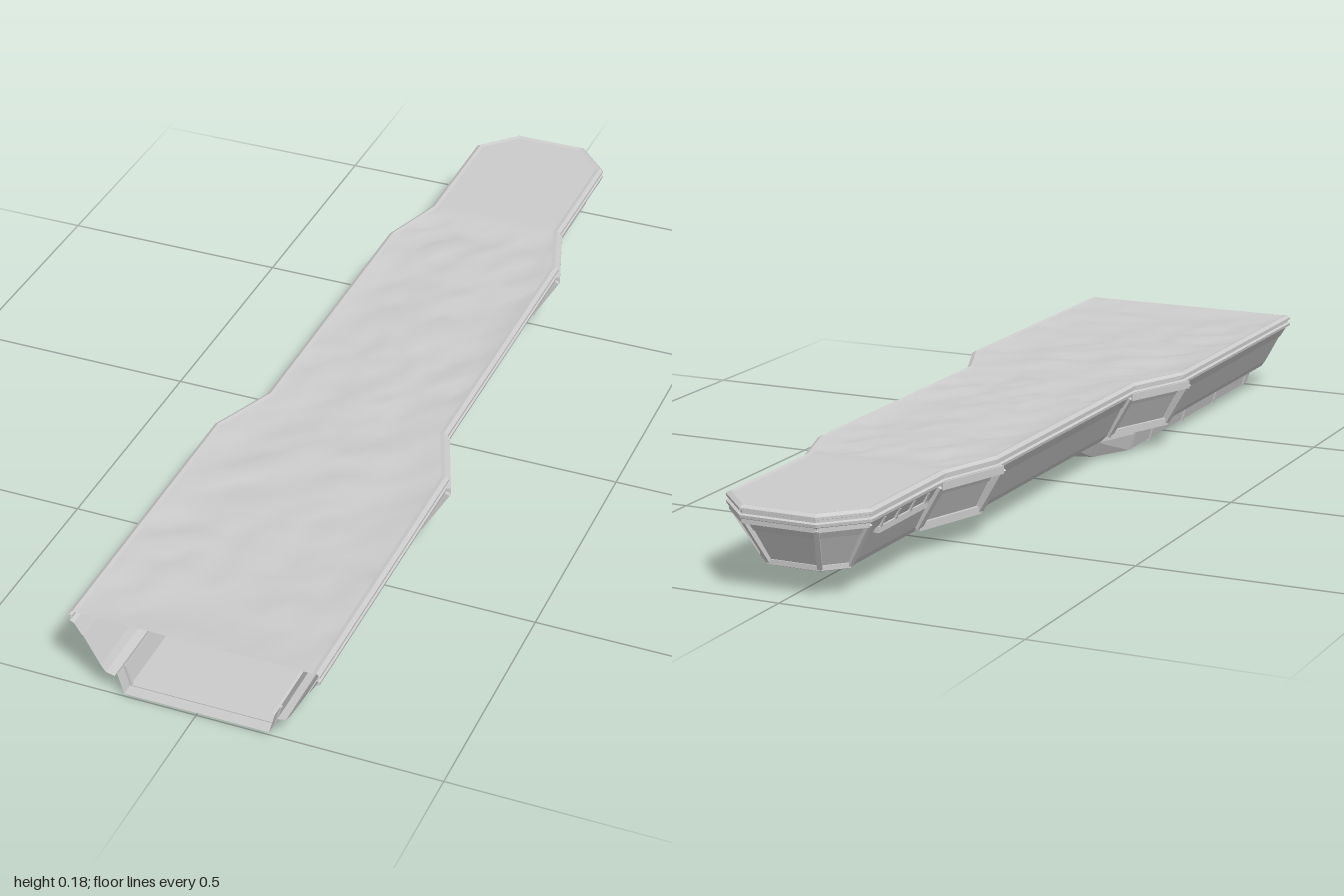
import * as THREE from 'three';

// Plan outlines as [x, z] from the open front round the back, right half mirrored
const mirror = half => [...half, ...half.map(([x, z, s]) => [-x, z, s]).reverse()];
const HULL_HALF = [[0.256, 1], [0.256, 0.34], [0.2, 0.2], [0.2, -0.48], [0.155, -0.62], [0.155, -0.92], [0.08, -1]];
const HULL = mirror(HULL_HALF);
// third number widens the inset where the tray end slopes up
const TRAY = mirror([[0.163, 1, 1], [0.163, 0.28, 1], [0.125, 0.18, 2], [0.06, 0.12, 4]]);

const grey = (flat = true) => new THREE.MeshStandardMaterial({ color: 0xcccccc, flatShading: flat, side: THREE.DoubleSide });

function addMesh(parent, name, geometry, flat = true) {
  const mesh = new THREE.Mesh(geometry, grey(flat));
  mesh.name = name;
  parent.add(mesh);
  return mesh;
}

// Point on an outline, moved inward by a mitred offset
function inset(path, i, off, y) {
  const [x, z, s = 1] = path[i];
  const normal = k => {
    const dx = path[k + 1][0] - path[k][0], dz = path[k + 1][1] - path[k][1];
    return new THREE.Vector2(dz, -dx).normalize();
  };
  const a = normal(Math.max(i - 1, 0)), b = normal(Math.min(i, path.length - 2));
  const m = a.clone().add(b).divideScalar(1 + a.dot(b)).multiplyScalar(off * s);
  return new THREE.Vector3(x + m.x, y, z + m.y);
}

function gridGeometry(rows, flip = false) {
  const n = rows[0].length, index = [];
  for (let i = 0; i < rows.length - 1; i++) {
    for (let j = 0; j < n - 1; j++) {
      const a = i * n + j, b = a + n, c = b + 1, d = a + 1;
      if (flip) index.push(a, b, c, a, c, d);
      else index.push(a, d, c, a, c, b);
    }
  }
  const g = new THREE.BufferGeometry().setFromPoints(rows.flat());
  g.setIndex(index);
  g.computeVertexNormals();
  return g;
}

// Sweep an [inset, y] profile along an outline
const sweep = (path, profile) => gridGeometry(path.map((_, i) => profile.map(([o, y]) => inset(path, i, o, y))));

// Straight square bar between two points
function bar(parent, name, a, b, w) {
  const mesh = addMesh(parent, name, new THREE.BoxGeometry(w, w, a.distanceTo(b)));
  mesh.position.copy(a).add(b).multiplyScalar(0.5);
  mesh.lookAt(b);
}

// Half width of the deck at a given z
function halfWidth(z) {
  for (let i = 0; i < HULL_HALF.length - 1; i++) {
    const [x0, z0] = HULL_HALF[i], [x1, z1] = HULL_HALF[i + 1];
    if (z <= z0 && z >= z1) return x0 + (x1 - x0) * (z0 - z) / (z0 - z1);
  }
  return 0.08;
}

function noise(i, j) {
  const s = Math.sin(i * 127.1 + j * 311.7) * 43758.5453;
  return s - Math.floor(s);
}

// Uneven ground on the deck, level towards the rim and the rounded end
function deckGeometry() {
  const rows = [], nz = 50, nx = 12;
  for (let i = 0; i <= nz; i++) {
    const z = 1 - i * 1.99 / nz, w = halfWidth(z) - 0.012, row = [];
    for (let j = 0; j <= nx; j++) {
      const u = j / nx * 2 - 1;
      const inside = j > 0 && j < nx && i > 0 && z > -0.57;
      row.push(new THREE.Vector3(u * w, 0.176 - (inside ? 0.011 * noise(i, Math.abs(j - 6)) : 0), z));
    }
    rows.push(row);
  }
  return gridGeometry(rows, false);
}

export function createModel() {
  const model = new THREE.Group();
  model.name = 'deckSection';

  // Hull walls with grooved rim, open below and at the front
  addMesh(model, 'rim', sweep(HULL, [
    [0.016, 0.176], [0.008, 0.178], [0, 0.173], [0, 0.168], [0.006, 0.166],
    [0.006, 0.161], [0, 0.159], [0.001, 0.153], [0.009, 0.149],
  ]));
  addMesh(model, 'hullWall', sweep(HULL, [
    [0.009, 0.149], [0.024, 0.125], [0.026, 0.125], [0.06, 0.062], [0.07, 0.048], [0.088, 0.044],
  ]));
  const deck = addMesh(model, 'deck', deckGeometry(), false);
  deck.geometry.index.array.reverse();
  deck.geometry.computeVertexNormals();

  // Raised frames on the angled wall segments and the rounded end
  const frames = new THREE.Group();
  frames.name = 'wallFrames';
  model.add(frames);
  const last = HULL.length - 1;
  for (const k of [1, 3, 5, 6, last - 6, last - 4, last - 2]) {
    if (k === 5 || k === 6 || k === last - 6) {
      // Slim frames at the end
      const p = [inset(HULL, k, 0.01, 0.147), inset(HULL, k + 1, 0.01, 0.147),
        inset(HULL, k + 1, 0.062, 0.058), inset(HULL, k, 0.062, 0.058)];
      p.forEach((v, i) => bar(frames, 'endFrame', v, p[(i + 1) % 4], 0.01));
      continue;
    }
    const p = [inset(HULL, k, 0.006, 0.15), inset(HULL, k + 1, 0.006, 0.15),
      inset(HULL, k + 1, 0.06, 0.06), inset(HULL, k, 0.06, 0.06)];
    // widen the frame past the corners of the segment
    const side = Math.sign(HULL[k][0]);
    const along = p[1].clone().sub(p[0]).normalize().multiplyScalar(0.012);
    const q = p.map((v, i) => v.clone().addScaledVector(along, i === 1 || i === 2 ? 1 : -1));
    q.forEach(v => { v.x += side * 0.002; });
    q.forEach((v, i) => bar(frames, 'cornerFrame', v, q[(i + 1) % 4], 0.016));
  }

  // Ledges and short ribs beside the narrow end
  for (const s of [1, -1]) {
    const x = s * 0.13;
    bar(model, 'sideLedge', new THREE.Vector3(x, 0.12, -0.66), new THREE.Vector3(x, 0.12, -0.86), 0.012);
    for (let i = 0; i < 4; i++) {
      const z = -0.67 - i * 0.06;
      bar(model, 'sideRib', new THREE.Vector3(x, 0.12, z), new THREE.Vector3(s * 0.141, 0.146, z), 0.008);
    }
  }

  // Shallow tray below the wide part
  const tray = new THREE.Group();
  tray.name = 'tray';
  model.add(tray);
  addMesh(tray, 'trayWall', sweep(TRAY, [[0.004, 0.055], [0, 0.052], [0.003, 0.042], [0.013, 0.006]]));
  const floorShape = new THREE.Shape(TRAY.map((_, i) => {
    const p = inset(TRAY, i, 0.013, 0);
    return new THREE.Vector2(p.x, p.z);
  }));
  const floor = new THREE.ShapeGeometry(floorShape).rotateX(Math.PI / 2);
  floor.translate(0, 0.006, 0);
  addMesh(tray, 'trayFloor', floor);

  // Cross ribs wrapping the tray
  for (const z of [0.97, 0.78, 0.59, 0.4]) {
    const p = [[-0.161, 0.05], [-0.149, 0.004], [0.149, 0.004], [0.161, 0.05]].map(([x, y]) => new THREE.Vector3(x, y, z));
    for (let i = 0; i < 3; i++) bar(tray, 'trayRib', p[i], p[i + 1], 0.008);
  }
  // Edge bars round the sloped tray end
  for (let i = 1; i < TRAY.length - 1; i++) {
    bar(tray, 'trayEndPost', inset(TRAY, i, 0.001, 0.05), inset(TRAY, i, 0.012, 0.01), 0.01);
    if (i < TRAY.length - 2) {
      bar(tray, 'trayEndRim', inset(TRAY, i, 0.001, 0.05), inset(TRAY, i + 1, 0.001, 0.05), 0.01);
    }
  }
  return model;
}
